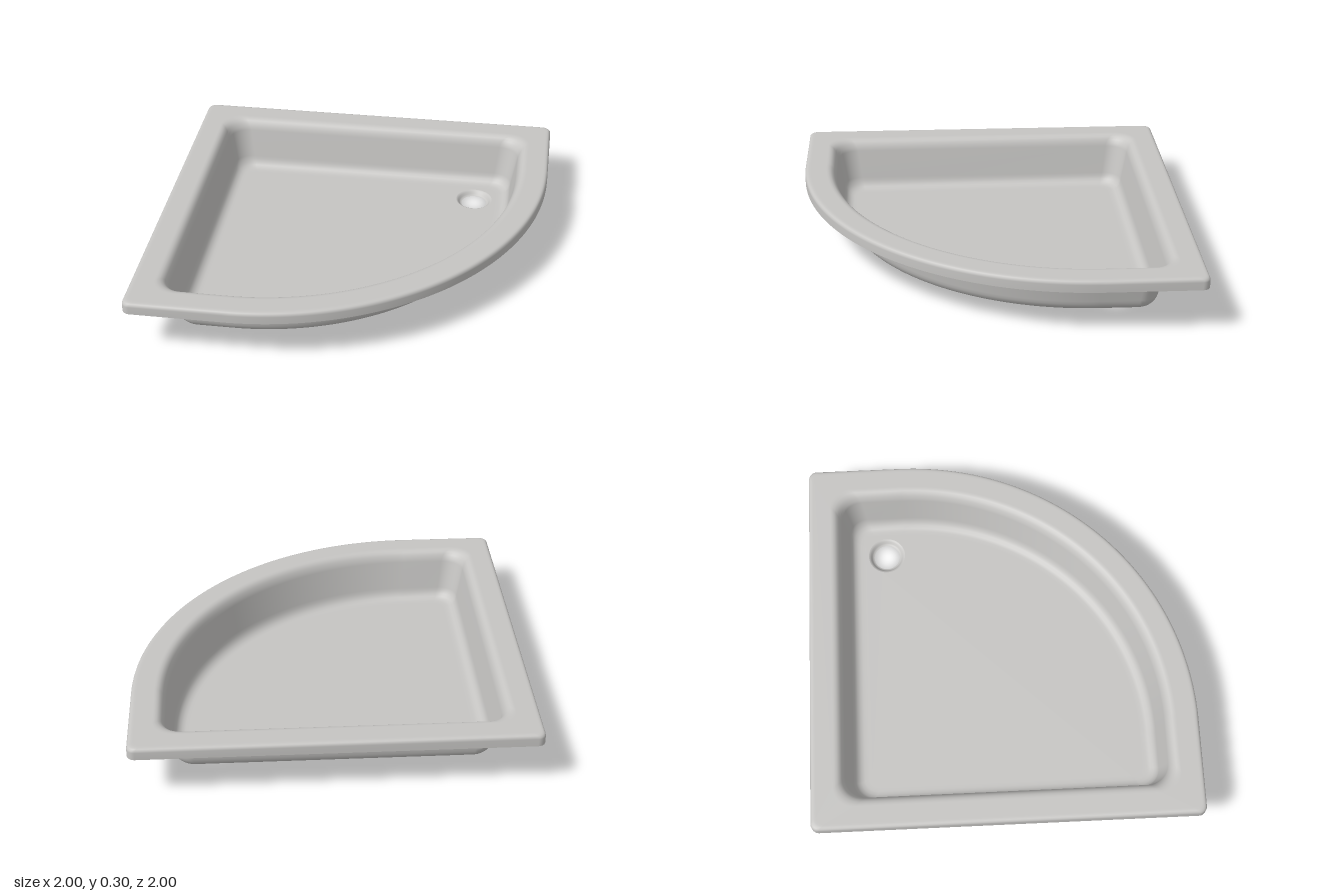
import * as THREE from 'three';

const ARC_CENTRE = -0.5; // centre of the big quarter-round front, on both x and z
const FLOOR_Y = 0.025;
const FLOOR_INSET = 0.28;
const DRAIN = { x: 0.6, z: -0.6, radius: 0.1 };

// Quadrant outline inset by d, with three small corners of radius r; points are [x, z]
function outline(d, r) {
  const e = 1 - d;
  const points = [];
  const arc = (cx, cz, radius, start, steps) => {
    for (let i = 0; i <= steps; i++) {
      const a = start + (i / steps) * Math.PI / 2;
      points.push([cx + radius * Math.cos(a), cz + radius * Math.sin(a)]);
    }
  };
  arc(-e + r, -e + r, r, Math.PI, 10);
  arc(e - r, -e + r, r, -Math.PI / 2, 10);
  arc(ARC_CENTRE, ARC_CENTRE, e - ARC_CENTRE, 0, 64);
  arc(-e + r, e - r, r, Math.PI / 2, 10);
  return points;
}

// Lofts a list of [inset, height, corner radius] into one smooth surface
function loft(profile) {
  const position = [];
  const index = [];
  let n = 0;
  profile.forEach(([d, y, r]) => {
    const ring = outline(d, r);
    n = ring.length;
    ring.forEach(([x, z]) => position.push(x, y, z));
  });
  for (let k = 0; k < profile.length - 1; k++) {
    for (let i = 0; i < n; i++) {
      const a = k * n + i;
      const c = k * n + (i + 1) % n;
      index.push(a, a + n, c, c, a + n, c + n);
    }
  }
  const geometry = new THREE.BufferGeometry();
  geometry.setAttribute('position', new THREE.Float32BufferAttribute(position, 3));
  geometry.setIndex(index);
  geometry.computeVertexNormals();
  return geometry;
}

export function createModel() {
  const group = new THREE.Group();
  group.name = 'cornerShowerTray';
  const enamel = new THREE.MeshStandardMaterial({ color: 0xc6c5c3, side: THREE.DoubleSide });
  enamel.name = 'greyEnamel';
  const add = (name, geometry) => {
    const mesh = new THREE.Mesh(geometry, enamel);
    mesh.name = name;
    group.add(mesh);
    return mesh;
  };

  // Thin pressed shell: skirt, rounded rim, sloping wall and fillet to the floor
  add('rimAndWall', loft([
    [0, 0.24, 0.04], [0, 0.28, 0.04], [0.002, 0.289, 0.04], [0.007, 0.296, 0.04],
    [0.014, 0.299, 0.04], [0.022, 0.3, 0.04], [0.03, 0.3, 0.04],
    [0.115, 0.3, 0.11], [0.125, 0.3, 0.11], [0.138, 0.297, 0.11], [0.15, 0.289, 0.11],
    [0.16, 0.276, 0.11], [0.168, 0.258, 0.11], [0.173, 0.24, 0.11],
    [0.202, 0.085, 0.1], [0.206, 0.068, 0.1], [0.213, 0.051, 0.1],
    [0.225, 0.037, 0.09], [0.241, 0.028, 0.08], [0.258, FLOOR_Y, 0.07],
    [FLOOR_INSET, FLOOR_Y, 0.06],
  ]));

  // Flat floor with the drain opening
  const shape = new THREE.Shape(outline(FLOOR_INSET, 0.06).map(([x, z]) => new THREE.Vector2(x, -z)));
  const hole = new THREE.Path();
  hole.absarc(DRAIN.x, -DRAIN.z, DRAIN.radius, 0, Math.PI * 2, true);
  shape.holes.push(hole);
  const floor = add('floor', new THREE.ShapeGeometry(shape, 24).rotateX(-Math.PI / 2));
  floor.position.y = FLOOR_Y;

  // Dished drain collar, open in the middle
  const collar = [[0.1, 0.025], [0.094, 0.023], [0.088, 0.017], [0.082, 0.008], [0.077, 0.002], [0.07, 0]];
  const drain = add('drainCollar', new THREE.LatheGeometry(collar.map(([r, y]) => new THREE.Vector2(r, y)), 48));
  drain.position.set(DRAIN.x, 0, DRAIN.z);

  return group;
}
